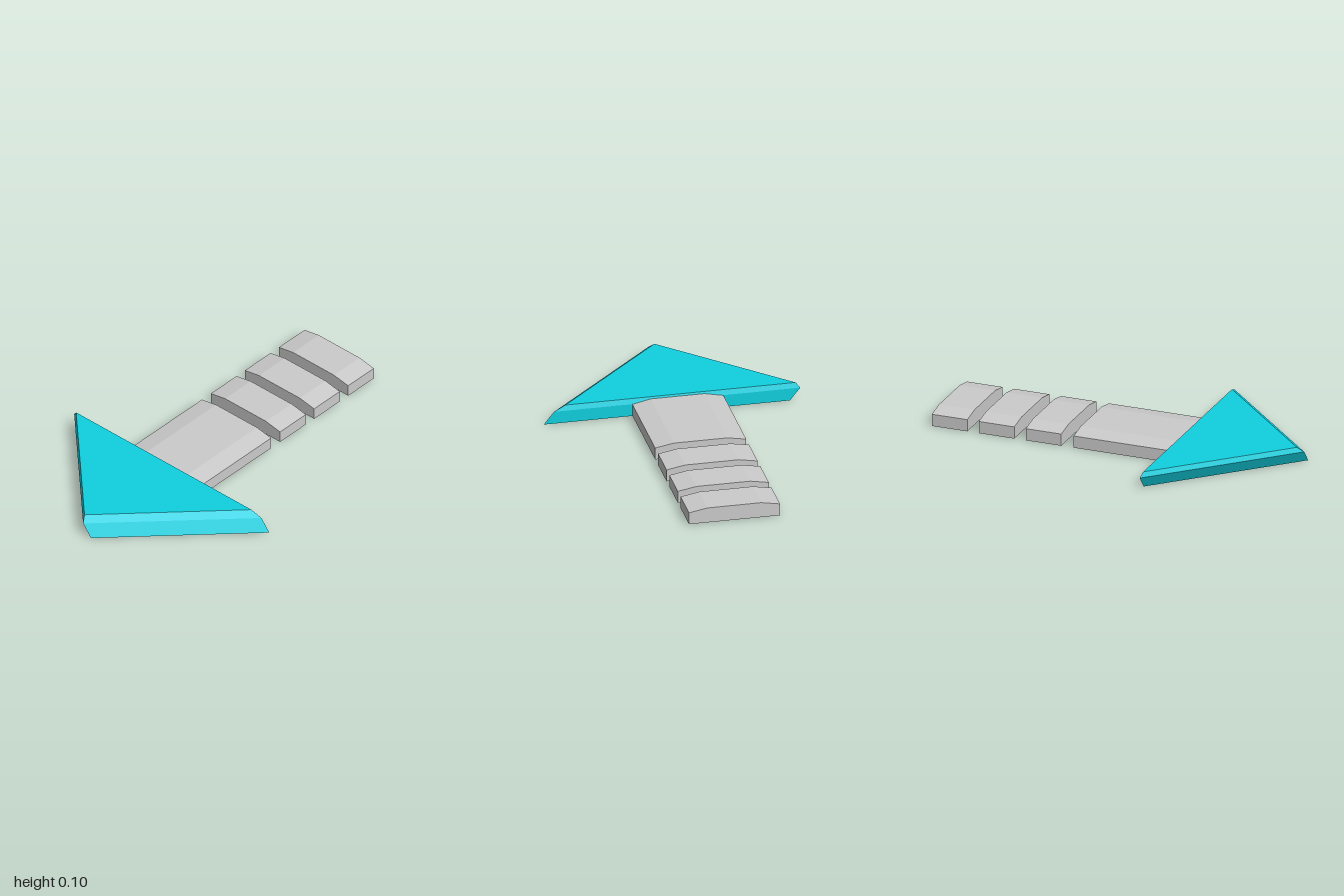
import * as THREE from 'three';

// Closed, flat-shaded solid through stacked rings of [x, y, z], counter-clockwise from above
function loft(rings) {
  const n = rings[0].length, top = rings.length - 1, pos = [];
  const tri = (...corners) => corners.forEach((c) => pos.push(...c));
  for (let r = 0; r < top; r++) {
    for (let i = 0; i < n; i++) {
      const j = (i + 1) % n, lo = rings[r], hi = rings[r + 1];
      tri(lo[i], lo[j], hi[j]);
      tri(lo[i], hi[j], hi[i]);
    }
  }
  for (let i = 1; i < n - 1; i++) {
    tri(rings[0][0], rings[0][i + 1], rings[0][i]);
    tri(rings[top][0], rings[top][i], rings[top][i + 1]);
  }
  const geometry = new THREE.BufferGeometry();
  geometry.setAttribute('position', new THREE.Float32BufferAttribute(pos, 3));
  geometry.computeVertexNormals();
  return geometry;
}

export function createModel() {
  const model = new THREE.Group();
  model.name = 'arrow';
  const grey = new THREE.MeshStandardMaterial({ color: 0xcccccc, flatShading: true });
  const teal = new THREE.MeshStandardMaterial({ color: 0x10d0e0, flatShading: true });

  // Arrow head: right-angled triangle with slanted sides and a bevelled top
  const triangle = (y, z, half, base) => [
    [base - half, y, z], [base, y, z + half], [base, y, z - half],
  ];
  const head = new THREE.Mesh(loft([
    triangle(0, 0.03, 0.66, -0.34),
    triangle(0.068, -0.025, 0.66, -0.34),
    triangle(0.096, -0.045, 0.617, -0.35),
  ]), teal);
  head.name = 'arrowHead';
  model.add(head);

  // Shaft and three dashes share one chamfered cross-section, extruded along x
  const section = new THREE.Shape([
    [-0.215, 0.001], [0.273, 0.001], [0.273, 0.067], [0.173, 0.085], [-0.115, 0.085], [-0.215, 0.067],
  ].map(([x, y]) => new THREE.Vector2(x, y)));
  const addBar = (name, from, to) => {
    const geometry = new THREE.ExtrudeGeometry(section, { depth: to - from, bevelEnabled: false });
    geometry.rotateY(Math.PI / 2);
    const bar = new THREE.Mesh(geometry, grey);
    bar.name = name;
    bar.position.x = from;
    model.add(bar);
  };
  addBar('shaft', -0.56, 0.2);
  for (let i = 0; i < 3; i++) {
    const start = 0.27 + i * 0.265;
    addBar(`tailDash${i + 1}`, start, start + 0.2);
  }

  return model;
}
